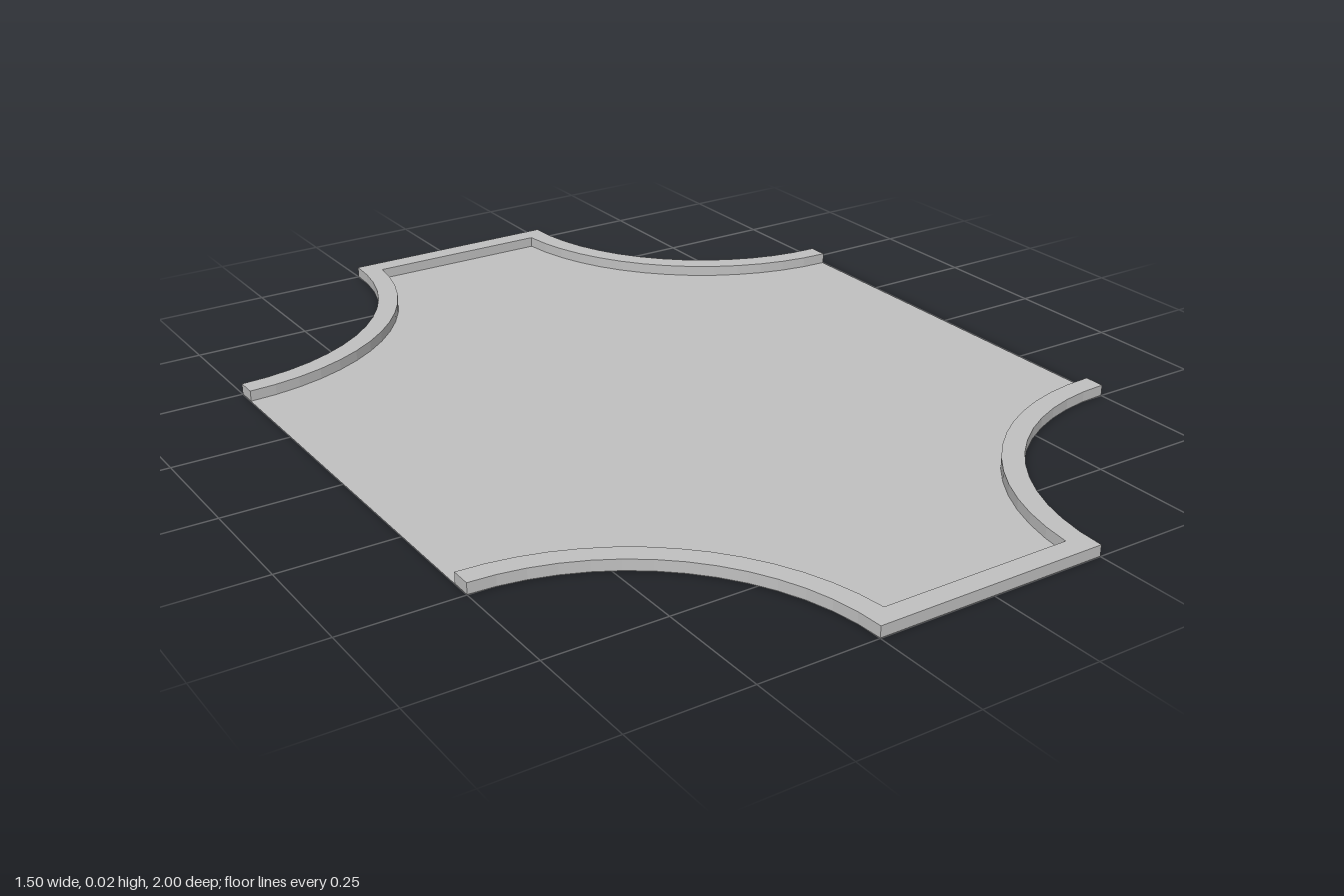
import * as THREE from 'three';

const HALF_W = 0.75, HALF_L = 1, R = 0.5, RIM = 0.045, HEIGHT = 0.024, SEGMENTS = 14;

// Scalloped end contour from the right side to the left side, inset by d
function endContour(d) {
  const r = R + d, right = [];
  const last = Math.acos(Math.min(1, d / r)); // stops at the inset end line
  for (let i = 0; i <= SEGMENTS; i++) {
    const a = (i / SEGMENTS) * last;
    right.push(new THREE.Vector2(HALF_W - r * Math.sin(a), HALF_L - r * Math.cos(a)));
  }
  const left = right.map(p => new THREE.Vector2(-p.x, p.y)).reverse();
  return [...right, ...left];
}

export function createModel() {
  const model = new THREE.Group();
  const grey = new THREE.MeshStandardMaterial({ color: 0xc0c0c0 });
  grey.name = 'light grey';
  grey.side = THREE.DoubleSide;
  grey.flatShading = true;

  // Thin base sheet with four concave corners
  const outer = endContour(0);
  const opposite = outer.map(p => new THREE.Vector2(-p.x, -p.y));
  const sheet = new THREE.ShapeGeometry(new THREE.Shape([...outer, ...opposite]));
  sheet.rotateX(-Math.PI / 2);
  const base = new THREE.Mesh(sheet, grey);
  base.name = 'baseSheet';
  model.add(base);

  // Raised rim around each end, leaving the long sides open
  const rimShape = new THREE.Shape([...outer, ...endContour(RIM).reverse()]);
  const rimGeometry = new THREE.ExtrudeGeometry(rimShape, { depth: HEIGHT - 0.001, bevelEnabled: false });
  rimGeometry.rotateX(-Math.PI / 2);
  rimGeometry.translate(0, 0.001, 0);
  ['backRim', 'frontRim'].forEach((name, i) => {
    const rim = new THREE.Mesh(rimGeometry, grey);
    rim.name = name;
    rim.rotation.y = i * Math.PI;
    model.add(rim);
  });

  return model;
}
